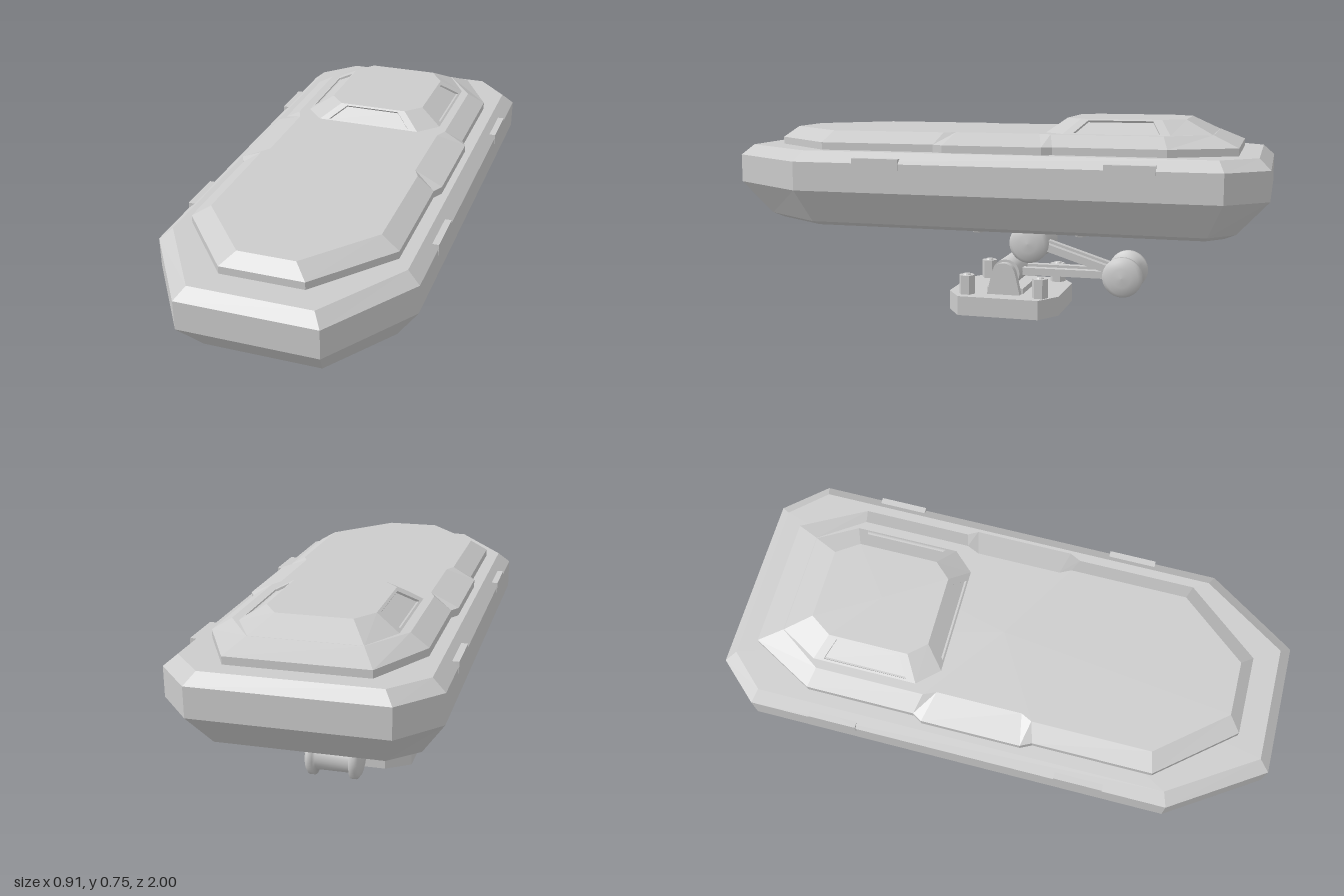
import * as THREE from 'three';

const flat = new THREE.MeshStandardMaterial({ color: 0xcccccc, flatShading: true });
const smooth = new THREE.MeshStandardMaterial({ color: 0xcccccc });

function add(parent, name, geometry, material, x = 0, y = 0, z = 0) {
  const mesh = new THREE.Mesh(geometry, material);
  mesh.name = name;
  mesh.position.set(x, y, z);
  parent.add(mesh);
  return mesh;
}

// Closed outline at height y from its +x half, listed front to back
function ring(y, half) {
  const right = half.map(([x, z]) => new THREE.Vector3(x, y, z));
  const left = half.map(([x, z]) => new THREE.Vector3(-x, y, z)).reverse();
  return [...right, ...left];
}

// Skin over stacked rings; the sides listed in recessed get a sunken panel
function loft(rings, recessed = []) {
  const pos = [];
  const tri = (...pts) => pts.forEach((p) => pos.push(p.x, p.y, p.z));
  const quad = (a, b, c, d) => { tri(a, b, c); tri(a, c, d); };
  const n = rings[0].length;

  function panel(corners) {
    const [a, b, , d] = corners;
    const centre = corners.reduce((s, p) => s.add(p), new THREE.Vector3()).multiplyScalar(0.25);
    const normal = b.clone().sub(a).cross(d.clone().sub(a)).normalize();
    const rim = corners.map((p) => p.clone().lerp(centre, 0.2));
    const floor = rim.map((p) => p.clone().addScaledVector(normal, -0.008));
    for (let i = 0; i < 4; i++) {
      const j = (i + 1) % 4;
      quad(corners[i], corners[j], rim[j], rim[i]);
      quad(rim[i], rim[j], floor[j], floor[i]);
    }
    quad(...floor);
  }

  for (let k = 0; k + 1 < rings.length; k++) {
    for (let i = 0; i < n; i++) {
      const j = (i + 1) % n;
      const face = [rings[k][i], rings[k][j], rings[k + 1][j], rings[k + 1][i]];
      if (recessed.includes(i)) panel(face);
      else quad(...face);
    }
  }
  const bottom = rings[0], top = rings[rings.length - 1];
  const middle = (r) => r.reduce((s, p) => s.add(p), new THREE.Vector3()).divideScalar(n);
  const lo = middle(bottom), hi = middle(top);
  for (let i = 0; i < n; i++) {
    const j = (i + 1) % n;
    tri(lo, bottom[j], bottom[i]);
    tri(hi, top[i], top[j]);
  }
  const g = new THREE.BufferGeometry();
  g.setAttribute('position', new THREE.Float32BufferAttribute(pos, 3));
  g.computeVertexNormals();
  return g;
}

// Cylinder lying along x
const axle = (r, length) => new THREE.CylinderGeometry(r, r, length, 32).rotateZ(Math.PI / 2);

// Spool lying along x: narrow core and domed end caps
function spool() {
  const half = [[0, 0.106], [0.035, 0.103], [0.062, 0.096], [0.075, 0.086], [0.075, 0.066], [0.055, 0.062]];
  const profile = [
    ...half.map(([r, y]) => new THREE.Vector2(r, -y)),
    ...half.reverse().map(([r, y]) => new THREE.Vector2(r, y)),
  ];
  return new THREE.LatheGeometry(profile, 40).rotateZ(Math.PI / 2);
}

function buildPod(parent) {
  const pod = new THREE.Group();
  pod.name = 'pod';
  parent.add(pod);

  const waist = [[0.24, 1], [0.455, 0.675], [0.455, -0.855], [0.325, -1]];
  add(pod, 'hull', loft([
    ring(0.345, [[0.19, 0.85], [0.335, 0.63], [0.335, -0.79], [0.27, -0.85]]),
    ring(0.362, [[0.205, 0.89], [0.375, 0.64], [0.375, -0.8], [0.28, -0.89]]),
    ring(0.485, waist),
    ring(0.59, waist),
    ring(0.628, [[0.21, 0.96], [0.41, 0.655], [0.41, -0.835], [0.295, -0.96]]),
  ]), flat);

  // Lid, slightly wider in its middle stretch
  const lidEdge = [[0.145, 0.865], [0.365, 0.6], [0.365, 0.17], [0.385, 0.13],
    [0.385, -0.23], [0.365, -0.265], [0.365, -0.66], [0.24, -0.89]];
  const lidTop = [[0.1, 0.82], [0.3, 0.58], [0.3, 0.15], [0.28, 0.11],
    [0.28, -0.2], [0.3, -0.245], [0.3, -0.64], [0.19, -0.8]];
  add(pod, 'lid', loft([ring(0.615, lidEdge), ring(0.655, lidEdge), ring(0.695, lidTop)]), flat);

  // Raised hatch with sunken panels at the front and both sides
  add(pod, 'hatch', loft([
    ring(0.694, [[0.2, -0.205], [0.27, -0.28], [0.27, -0.66], [0.19, -0.8]]),
    ring(0.745, [[0.13, -0.27], [0.185, -0.33], [0.185, -0.62], [0.13, -0.7]]),
  ], [1, 5, 7]), flat);

  for (const side of [-1, 1]) {
    for (const z of [0.358, -0.547]) {
      add(pod, 'latch', new THREE.BoxGeometry(0.055, 0.04, 0.175), flat, side * 0.4295, 0.588, z);
    }
  }
}

function buildArm(parent) {
  const arm = new THREE.Group();
  arm.name = 'arm';
  parent.add(arm);
  const base = [0.148, -0.03], elbow = [0.15, -0.472], top = [0.263, -0.113];

  add(arm, 'baseRoller', axle(0.053, 0.214), smooth, 0, ...base);
  add(arm, 'basePin', axle(0.017, 0.28), smooth, 0, ...base);
  add(arm, 'elbowJoint', spool(), smooth, 0, ...elbow);
  add(arm, 'topJoint', spool(), smooth, 0, ...top);

  // Twin rods between the joints
  function rods(name, [y0, z0], [y1, z1], spread) {
    const length = Math.hypot(y1 - y0, z1 - z0);
    for (const side of [-1, 1]) {
      const rod = add(arm, name, new THREE.BoxGeometry(0.03, 0.028, length), flat,
        side * spread, (y0 + y1) / 2, (z0 + z1) / 2);
      rod.rotation.x = -Math.atan2(y1 - y0, z1 - z0);
    }
  }
  rods('lowerRod', base, elbow, 0.04);
  rods('upperRod', elbow, top, 0.035);

  // Mount under the pod
  add(arm, 'mountPlate', new THREE.BoxGeometry(0.286, 0.034, 0.52), flat, 0, 0.331, -0.115);
  add(arm, 'mountBlock', new THREE.BoxGeometry(0.11, 0.06, 0.1), flat, 0, 0.3, -0.113);
  for (const x of [-0.108, 0.108]) {
    for (const z of [0.08, -0.318]) {
      add(arm, 'mountBolt', new THREE.CylinderGeometry(0.025, 0.02, 0.012, 6), flat, x, 0.309, z);
    }
  }
}

function buildStand(parent) {
  const stand = new THREE.Group();
  stand.name = 'stand';
  parent.add(stand);

  const outline = [[0.125, 0.19], [0.215, 0.13], [0.215, -0.18], [0.125, -0.24]];
  add(stand, 'basePlate', loft([ring(0, outline), ring(0.073, outline)]), flat);
  add(stand, 'basePad', new THREE.BoxGeometry(0.24, 0.022, 0.14), flat, 0, 0.083, -0.03);

  // Tapered pivot cheek with a round top
  const cheek = new THREE.Shape();
  cheek.moveTo(-0.065, 0.07);
  cheek.lineTo(0.065, 0.07);
  cheek.lineTo(0.046, 0.155);
  cheek.absarc(0, 0.148, 0.046, 0.15, Math.PI - 0.15, false);
  cheek.closePath();
  const cheekGeometry = new THREE.ExtrudeGeometry(cheek, { depth: 0.03, bevelEnabled: false, curveSegments: 16 })
    .translate(0, 0, -0.015).rotateY(Math.PI / 2);

  for (const side of [-1, 1]) {
    add(stand, 'pivotCheek', cheekGeometry, smooth, side * 0.133, 0, -0.03);
    for (const z of [0.11, -0.175]) {
      add(stand, 'post', new THREE.CylinderGeometry(0.031, 0.031, 0.075, 6), flat, side * 0.157, 0.108, z);
      add(stand, 'postCap', new THREE.CylinderGeometry(0.012, 0.016, 0.006, 12), flat, side * 0.157, 0.148, z);
    }
  }
}

export function createModel() {
  const model = new THREE.Group();
  model.name = 'podOnArm';
  buildPod(model);
  buildArm(model);
  buildStand(model);
  return model;
}
